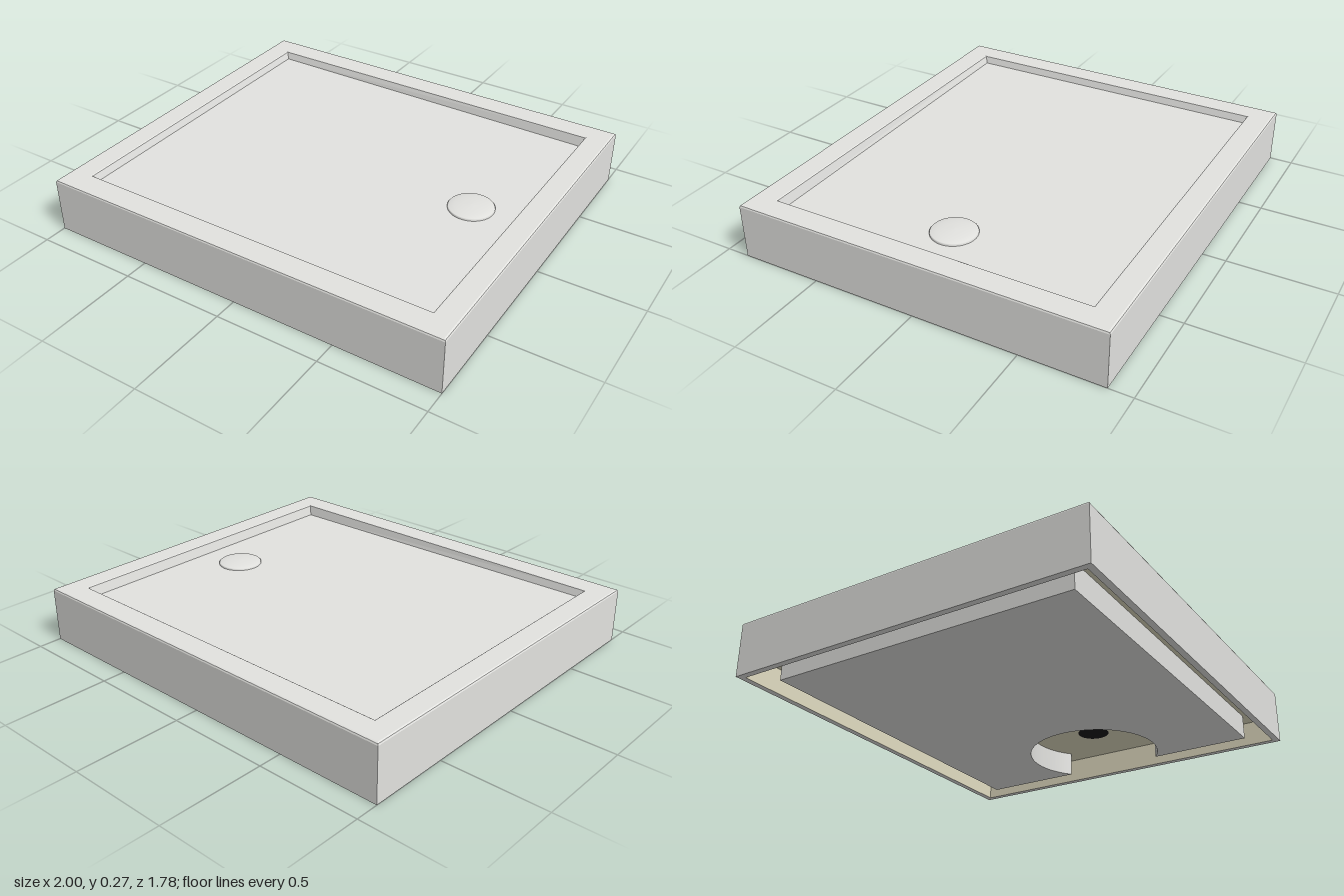
import * as THREE from 'three';

const enamel = new THREE.MeshStandardMaterial({ name: 'enamelGrey', color: 0xe2e2df });
const fibre = new THREE.MeshStandardMaterial({ name: 'fibreCream', color: 0xe2ddc2 });
const dark = new THREE.MeshStandardMaterial({ name: 'drainBlack', color: 0x1a1a1a });

const drain = { x: 0.66, z: 0 };
const corners = [[1, 1], [1, -1], [-1, -1], [-1, 1]];

// Skin running through rectangular rings [halfX, height(x), halfZ]
function ringLoft(rings) {
  const point = ([hx, h, hz], i) => {
    const [sx, sz] = corners[i % 4];
    return [hx * sx, typeof h === 'function' ? h(hx * sx) : h, hz * sz];
  };
  const pos = [];
  for (let r = 0; r < rings.length - 1; r++) {
    for (let i = 0; i < 4; i++) {
      const a = point(rings[r], i), b = point(rings[r], i + 1);
      const c = point(rings[r + 1], i + 1), d = point(rings[r + 1], i);
      pos.push(...a, ...b, ...c, ...a, ...c, ...d);
    }
  }
  const geo = new THREE.BufferGeometry();
  geo.setAttribute('position', new THREE.Float32BufferAttribute(pos, 3));
  geo.computeVertexNormals();
  return geo;
}

export function createModel() {
  const group = new THREE.Group();
  const add = (name, geo, mat, x = 0, y = 0, z = 0) => {
    const mesh = new THREE.Mesh(geo, mat);
    mesh.name = name;
    mesh.position.set(x, y, z);
    group.add(mesh);
    return mesh;
  };

  // Outer walls, raised rim and floor falling gently towards the drain
  const floorY = (x) => 0.222 - 0.008 * x;
  add('trayShell', ringLoft([
    [0.97, 0, 0.86], [1, 0, 0.89], [1, 0.257, 0.89],
    [0.997, 0.264, 0.887], [0.99, 0.267, 0.88],
    [0.892, 0.267, 0.777], [0.887, 0.264, 0.772],
    [0.877, floorY, 0.762], [0, floorY, 0],
  ]), enamel);

  // Hollow underside: ceiling and inner wall faces
  add('undersideLining', ringLoft([
    [0, 0.12, 0], [0.97, 0.12, 0.86], [0.97, 0, 0.86],
  ]), fibre);

  // Support slab with a round bite around the drain
  const r = 0.33, hx = 0.87, hz = 0.75;
  const a = Math.acos((hx - drain.x) / r);
  const shape = new THREE.Shape();
  shape.moveTo(-hx, -hz);
  shape.lineTo(hx, -hz);
  shape.lineTo(hx, -r * Math.sin(a));
  shape.absarc(drain.x, 0, r, -a, a, true);
  shape.lineTo(hx, hz);
  shape.lineTo(-hx, hz);
  shape.closePath();
  const slab = new THREE.ExtrudeGeometry(shape, { depth: 0.12, bevelEnabled: false, curveSegments: 64 });
  slab.rotateX(-Math.PI / 2);
  add('supportSlab', slab, enamel);

  // Waste outlet seen from below
  const outlet = new THREE.CircleGeometry(0.08, 40);
  outlet.rotateX(Math.PI / 2);
  add('wasteOutlet', outlet, dark, drain.x, 0.117, drain.z);

  // Slightly domed drain cover
  const profile = [[0.107, 0.205], [0.107, 0.222], [0.103, 0.226], [0.075, 0.23], [0.04, 0.233], [0, 0.234]]
    .map(([x, y]) => new THREE.Vector2(x, y));
  add('drainCover', new THREE.LatheGeometry(profile, 48), enamel, drain.x, 0, drain.z);

  return group;
}
